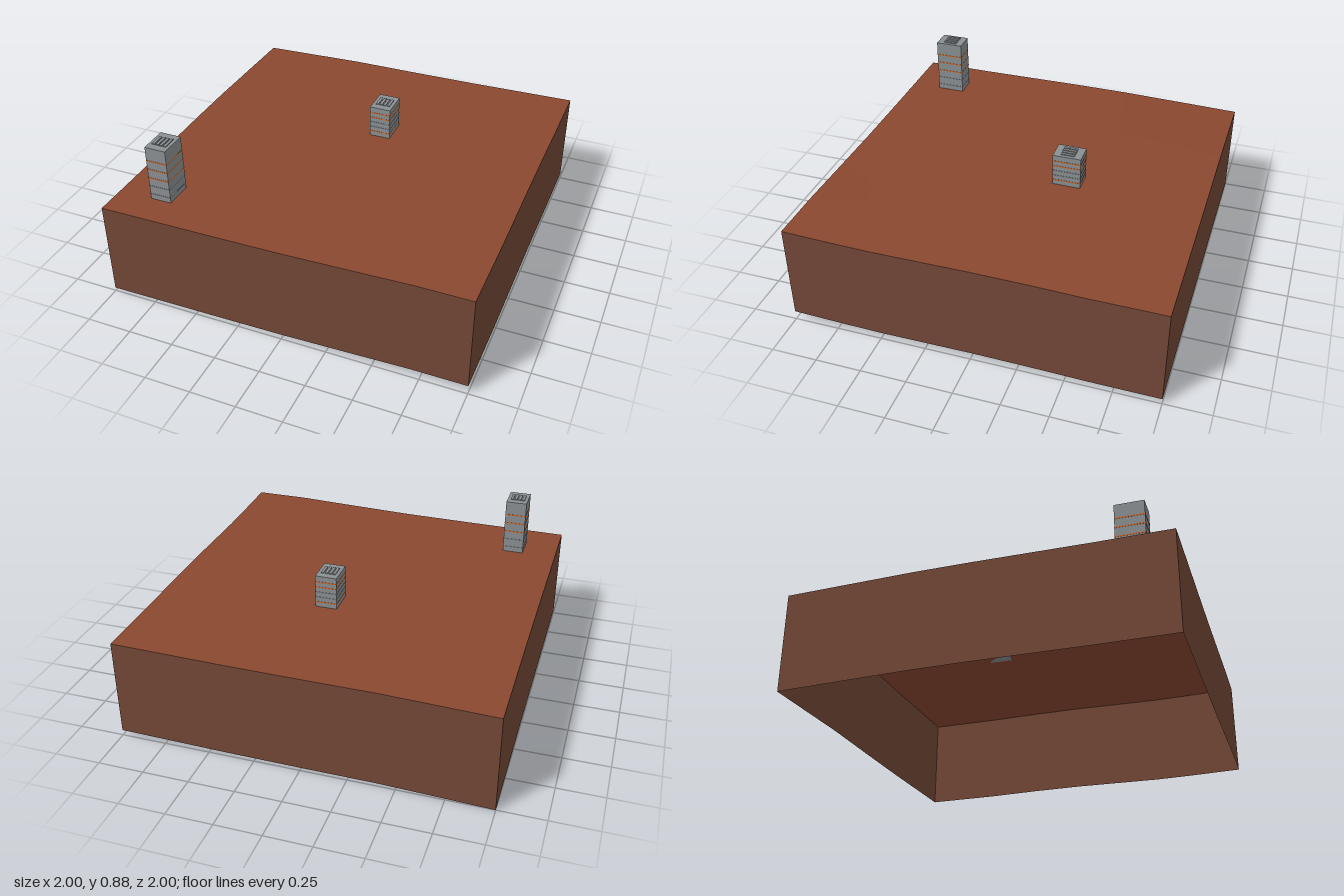
import * as THREE from 'three';

const mat = (name, color, side = THREE.FrontSide) => {
  const m = new THREE.MeshStandardMaterial({ color, side });
  m.name = name;
  return m;
};

const DEPTH = 0.535; // height of the skirt walls

// Heights of the lower rim along each edge, as [position, height] points
const FRONT = [[-1, 0.02], [-0.4, 0.025], [0, 0.03], [0.4, 0.042], [0.7, 0.052], [1, 0.052]];
const BACK = [[-1, 0], [-0.4, 0.017], [0, 0.018], [0.4, 0.021], [1, 0.031]];
const RIGHT = [[-1, 0], [-0.7, 0.008], [-0.3, 0.018], [0, 0.02], [0.6, 0.018], [1, 0.02]];
const LEFT = [[-1, 0.031], [-0.6, 0.033], [-0.3, 0.04], [0, 0.043], [0.5, 0.039], [0.7, 0.043], [1, 0.052]];

function sample(points, t) {
  for (let i = 1; i < points.length; i++) {
    const [a, ha] = points[i - 1], [b, hb] = points[i];
    if (t <= b || i === points.length - 1) return ha + (hb - ha) * (t - a) / (b - a);
  }
}

// Ground relief blended from its four edges, with a slight swell inside
function relief(x, z) {
  const u = (x + 1) / 2, v = (z + 1) / 2, mix = THREE.MathUtils.lerp;
  const acrossX = mix(sample(RIGHT, z), sample(LEFT, z), u);
  const acrossZ = mix(sample(BACK, x), sample(FRONT, x), v);
  const corners = mix(mix(BACK[0][1], BACK.at(-1)[1], u), mix(FRONT[0][1], FRONT.at(-1)[1], u), v);
  const swell = 0.005 * (1 - x * x) * (1 - z * z);
  return acrossX + acrossZ - corners + swell;
}

function followRelief(geometry, offset) {
  const p = geometry.attributes.position;
  for (let i = 0; i < p.count; i++) {
    p.setY(i, relief(p.getX(i), p.getZ(i)) + offset(p.getY(i)));
  }
  geometry.computeVertexNormals();
  return geometry;
}

export function createModel() {
  const model = new THREE.Group();
  const soil = mat('red soil', 0x8b4830, THREE.DoubleSide);
  const earth = mat('brown earth', 0x724737, THREE.DoubleSide);
  const concrete = mat('grey concrete', 0x8a8f92);
  const glow = mat('orange windows', 0xc8682c);
  const dim = mat('dark windows', 0x747a7e);

  const add = (parent, name, geometry, material, x = 0, y = 0, z = 0) => {
    const mesh = new THREE.Mesh(geometry, material);
    mesh.name = name;
    mesh.position.set(x, y, z);
    parent.add(mesh);
    return mesh;
  };

  // Rolling ground surface
  const ground = new THREE.PlaneGeometry(2, 2, 20, 20).rotateX(-Math.PI / 2);
  add(model, 'ground', followRelief(ground, () => DEPTH), soil);

  // Four walls below the ground, open underneath
  ['frontWall', 'leftWall', 'backWall', 'rightWall'].forEach((name, k) => {
    const wall = new THREE.PlaneGeometry(2, DEPTH, 20, 1).translate(0, 0, 1).rotateY(k * Math.PI / 2);
    add(model, name, followRelief(wall, y => (y > 0 ? DEPTH : 0)), earth);
  });

  // Tower with window bands and a row of roof vents
  const W = 0.118, L = 0.156;
  function tower(name, x, z, top, bands) {
    const group = new THREE.Group();
    group.name = name;
    model.add(group);
    const base = relief(x, z) + DEPTH;
    add(group, 'towerBody', new THREE.BoxGeometry(W, top - base, L), concrete, x, (top + base) / 2, z);
    for (const [y, material] of bands) {
      add(group, 'windowBand', new THREE.BoxGeometry(W + 0.002, 0.007, L + 0.002), material, x, y, z);
    }
    for (let i = 0; i < 4; i++) {
      add(group, 'roofVent', new THREE.BoxGeometry(0.015, 0.005, 0.076), concrete,
        x + (i - 1.5) * 0.022, top + 0.0025, z);
    }
  }

  tower('tallTower', -0.75, 0.75, 0.872,
    [[0.792, glow], [0.74, glow], [0.687, glow], [0.637, dim], [0.587, dim]]);
  tower('shortTower', 0.082, -0.25, 0.752,
    [[0.717, glow], [0.687, glow], [0.657, dim], [0.627, dim], [0.598, glow]]);

  return model;
}
